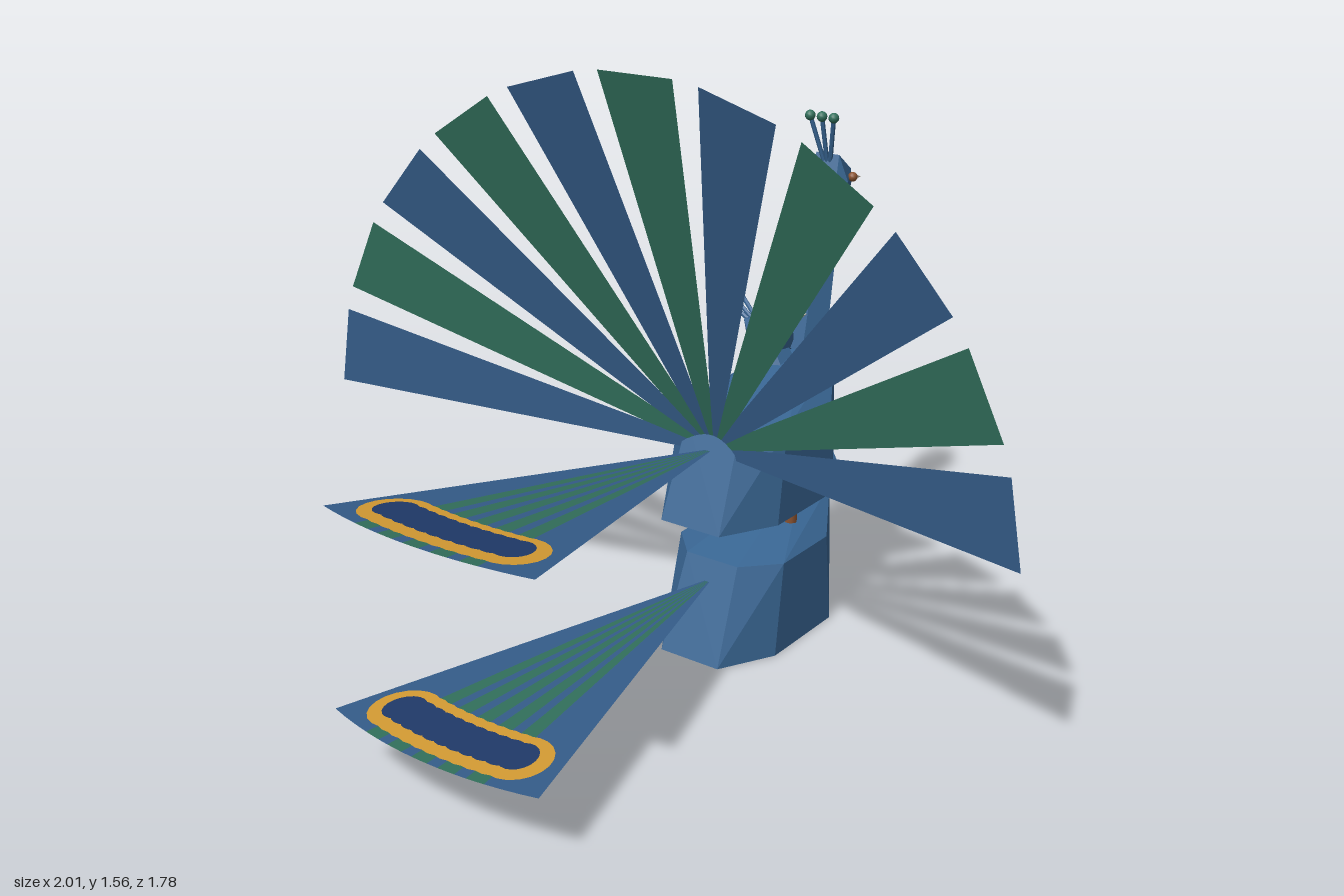
import * as THREE from 'three';
import { ConvexGeometry } from 'three/addons/geometries/ConvexGeometry.js';

const mat = (name, color, extra = {}) => {
  const m = new THREE.MeshStandardMaterial({ color, ...extra });
  m.name = name;
  return m;
};
const V = (x, y, z) => new THREE.Vector3(x, y, z);
const rad = THREE.MathUtils.degToRad;

export function createModel() {
  const model = new THREE.Group();
  model.name = 'peafowl';
  const two = { side: THREE.DoubleSide };
  const blue = mat('body blue', 0x386592, { flatShading: true });
  const featherBlue = mat('feather blue', 0x355d8a, two);
  const green = mat('feather green', 0x32705c, two);
  const gold = mat('eyespot gold', 0xd69c34, two);
  const navy = mat('eyespot navy', 0x203a6a, two);
  const brown = mat('leg brown', 0x8a5230);
  const cream = mat('beak cream', 0xd8cfc0, { flatShading: true });

  const add = (parent, name, geo, material) => {
    const m = new THREE.Mesh(geo, material);
    m.name = name;
    parent.add(m);
    return m;
  };
  // convex solid from points, each mirrored across x
  const hull = (pts) =>
    new ConvexGeometry(pts.flatMap(([x, y, z]) => (x ? [V(x, y, z), V(-x, y, z)] : [V(0, y, z)])));
  // tapered rod between two points
  const rod = (parent, name, a, b, rBottom, rTop, sides, material) => {
    const d = b.clone().sub(a);
    const m = add(parent, name, new THREE.CylinderGeometry(rTop, rBottom, d.length(), sides), material);
    m.position.copy(a).addScaledVector(d, 0.5);
    m.quaternion.setFromUnitVectors(V(0, 1, 0), d.normalize());
    return m;
  };
  // group whose +y runs along dir and whose +z is the decorated side
  const aimed = (name, origin, dir, normal) => {
    const g = new THREE.Group();
    g.name = name;
    const y = dir.clone().normalize(), z = normal.clone().normalize();
    g.quaternion.setFromRotationMatrix(new THREE.Matrix4().makeBasis(y.clone().cross(z), y, z));
    g.position.copy(origin);
    model.add(g);
    return g;
  };
  const flat = (points) =>
    new THREE.ShapeGeometry(new THREE.Shape(points.map(([x, y]) => new THREE.Vector2(x, y))));
  // gold and navy eyespot lying on a feather
  const eyespot = (parent, x, y, angle) => {
    [['eyespotRing', 0.076, 0.089, 0.004, gold], ['eyespotCentre', 0.043, 0.055, 0.008, navy]].forEach(
      ([name, rx, ry, lift, material]) => {
        const e = add(parent, name, new THREE.CircleGeometry(1, 20), material);
        e.scale.set(rx, ry, 1);
        e.position.set(x, y, lift);
        e.rotation.z = angle;
      });
  };

  // two stacked bodies
  const bodyGeo = hull([
    [0.09, 0, -0.1], [0.17, 0, -0.25], [0.17, 0, -0.52], [0.08, 0, -0.65],
    [0.08, 0.25, -0.2], [0.165, 0.25, -0.29], [0.165, 0.25, -0.5],
    [0.09, 0.295, -0.43], [0.08, 0.33, -0.65], [0, 0.37, -0.65],
  ]);
  add(model, 'lowerBody', bodyGeo, blue);
  add(model, 'upperBody', bodyGeo, blue).position.y = 0.375;

  // legs between the bodies
  for (const s of [-1, 1])
    rod(model, 'leg', V(s * 0.085, 0.2, -0.44), V(s * 0.085, 0.45, -0.44), 0.02, 0.02, 8, brown);

  // neck and head, origin at the neck base, facing -z
  const makeNeckAndHead = (name) => {
    const g = new THREE.Group();
    g.name = name;
    const neck = new THREE.CylinderGeometry(0.052, 0.07, 0.42, 6);
    neck.rotateY(Math.PI / 6);
    neck.translate(0, 0.21, 0);
    const p = neck.attributes.position;
    for (let i = 0; i < p.count; i++) p.setZ(i, p.getZ(i) - 0.22 * p.getY(i));
    add(g, 'neck', neck, blue);
    add(g, 'head', hull([
      [0.035, 0.5, -0.095], [0.05, 0.37, -0.045], [0.062, 0.43, -0.1],
      [0.02, 0.445, -0.185], [0.025, 0.41, -0.18], [0.045, 0.375, -0.13],
    ]), blue);
    rod(g, 'beak', V(0, 0.428, -0.172), V(0, 0.405, -0.27), 0.02, 0.001, 6, cream);
    for (const s of [-1, 1])
      add(g, 'eye', new THREE.SphereGeometry(0.013, 10, 8), brown).position.set(s * 0.055, 0.437, -0.135);
    for (const s of [-1, 0, 1]) {
      const tip = V(s * 0.036, 0.603, -0.06);
      rod(g, 'crestStalk', V(s * 0.01, 0.48, -0.092), tip, 0.006, 0.006, 6, blue);
      add(g, 'crestBall', new THREE.SphereGeometry(0.014, 10, 8), green).position.copy(tip);
    }
    model.add(g);
    return g;
  };
  makeNeckAndHead('raisedNeckAndHead').position.set(0, 0.735, -0.62);
  // second neck passes through the upper body
  const second = makeNeckAndHead('loweredNeckAndHead');
  second.position.set(0.15, 0.375, -0.5);
  second.rotation.set(0, -Math.PI / 2, rad(43), 'ZYX');
  second.rotateOnWorldAxis(V(0, 1, 0), -0.18);

  // open fan of eleven feathers
  const featherLength = Math.hypot(1, 0.325);
  const featherGeo = flat([
    [-0.008, 0], [0.008, 0], [0.105, featherLength], [-0.105, featherLength],
  ]);
  for (let i = -5; i <= 5; i++) {
    const a = rad(i * 16), sx = Math.sin(a), cy = Math.cos(a);
    const f = aimed('fanFeather', V(0, 0.557, -0.205), V(sx, cy, 0.325), V(sx * 0.325, cy * 0.325, -1));
    add(f, 'featherBlade', featherGeo, i % 2 ? featherBlue : green);
    eyespot(f, 0, 0.92, 0);
  }

  // two closed tails made of striped wedges
  const edges = [-16, -9.2, -6.8, -5.2, -2.8, -1.2, 1.2, 2.8, 5.2, 6.8, 9.2, 16];
  const arcPoint = (deg) => [Math.sin(rad(deg)) * 1.095, Math.cos(rad(deg)) * 1.095];
  const makeTail = (name, y, rise) => {
    const t = aimed(name, V(0, y, -0.205), V(0, rise, 1), V(0, 1, -rise));
    for (let i = 0; i < edges.length - 1; i++) {
      const a = edges[i], b = edges[i + 1];
      const rim = [0, 1, 2, 3].map((k) => arcPoint(b + ((a - b) * k) / 3));
      add(t, 'tailStripe', flat([[0, 0], ...rim]), i % 2 ? green : featherBlue);
    }
    for (let d = -10; d <= 10; d += 2)
      eyespot(t, Math.sin(rad(d)) * 0.98, Math.cos(rad(d)) * 0.98, -rad(d));
  };
  makeTail('lowerTail', 0.195, 0);
  makeTail('upperTail', 0.56, 0.127);

  return model;
}
